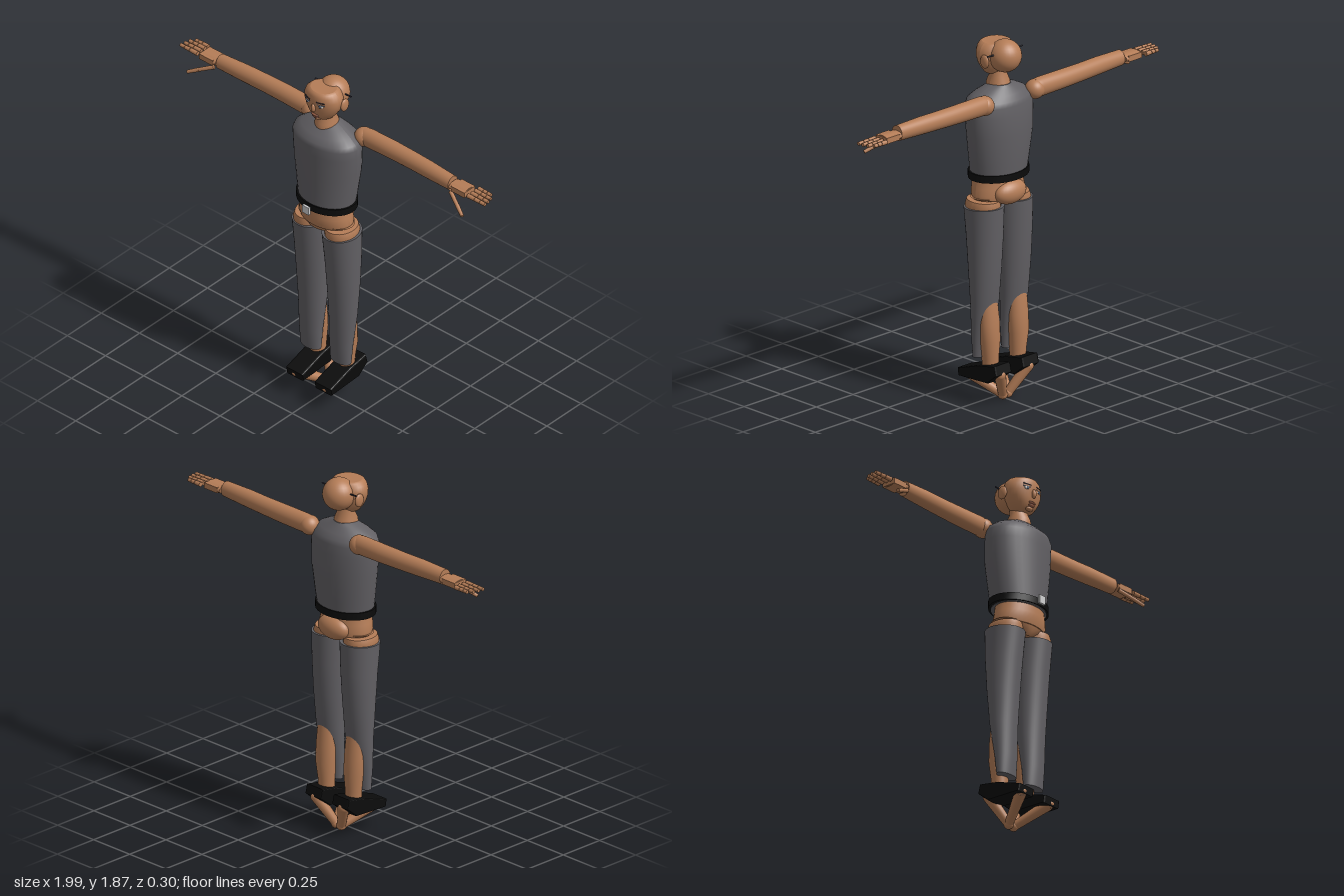
import * as THREE from 'three';

const mat = (name, color) => {
  const m = new THREE.MeshStandardMaterial({ color });
  m.name = name;
  return m;
};

// Closed elliptical loft; each ring is [y, centreX, centreZ, radiusX, radiusZ]
function loft(rings, tilt = 0, seg = 36) {
  const pos = [], idx = [];
  const addRing = ([y, cx, cz, rx, rz]) => {
    const start = pos.length / 3;
    for (let j = 0; j <= seg; j++) {
      const a = (j / seg) * Math.PI * 2, z = Math.sin(a) * rz;
      pos.push(cx + Math.cos(a) * rx, y + tilt * z, cz + z);
    }
    return start;
  };
  const starts = rings.map(addRing);
  for (let i = 0; i < rings.length - 1; i++) {
    for (let j = 0; j < seg; j++) {
      const a = starts[i] + j, b = starts[i + 1] + j;
      idx.push(a, b, a + 1, a + 1, b, b + 1);
    }
  }
  // End caps
  [[rings[0], false], [rings[rings.length - 1], true]].forEach(([r, top]) => {
    const s = addRing(r), c = pos.length / 3;
    pos.push(r[1], r[0], r[2]);
    for (let j = 0; j < seg; j++) top ? idx.push(c, s + j + 1, s + j) : idx.push(c, s + j, s + j + 1);
  });
  const g = new THREE.BufferGeometry();
  g.setAttribute('position', new THREE.Float32BufferAttribute(pos, 3));
  g.setIndex(idx);
  g.computeVertexNormals();
  return g;
}

export function createModel() {
  const root = new THREE.Group();
  root.name = 'figure';
  const skin = mat('skin', 0xb57d57), cloth = mat('greyCloth', 0x626064);
  const black = mat('black', 0x0b0b0b), metal = mat('buckleMetal', 0xcfcfd0);
  const eyeBlue = mat('eyeBlue', 0x56657a), white = mat('eyeWhite', 0xd8d4d0);
  const brow = mat('brow', 0x2c2c38), lip = mat('lip', 0x9c6048);

  const add = (name, geo, m, x = 0, y = 0, z = 0) => {
    const mesh = new THREE.Mesh(geo, m);
    mesh.name = name;
    mesh.position.set(x, y, z);
    root.add(mesh);
    return mesh;
  };
  const ball = (name, m, x, y, z, rx, ry = rx, rz = rx) =>
    add(name, new THREE.SphereGeometry(1, 28, 18).scale(rx, ry, rz), m, x, y, z);
  const box = (name, m, x, y, z, w, h, d) => add(name, new THREE.BoxGeometry(w, h, d), m, x, y, z);
  // Tapered round rod between two points
  const rod = (name, m, a, b, ra, rb = ra) => {
    const p = new THREE.Vector3(...a), q = new THREE.Vector3(...b), d = q.clone().sub(p);
    const mesh = add(name, new THREE.CylinderGeometry(rb, ra, d.length(), 16), m);
    mesh.position.copy(p).add(q).multiplyScalar(0.5);
    mesh.quaternion.setFromUnitVectors(new THREE.Vector3(0, 1, 0), d.normalize());
    return mesh;
  };

  // Head and neck
  ball('skull', skin, 0, 1.79, -0.053, 0.083);
  add('face', loft([
    [1.685, 0, 0.015, 0.035, 0.035], [1.695, 0, 0.018, 0.055, 0.052], [1.72, 0, 0.018, 0.075, 0.066],
    [1.75, 0, 0.017, 0.095, 0.073], [1.78, 0, 0.017, 0.105, 0.078], [1.81, 0, 0.017, 0.106, 0.08],
    [1.835, 0, 0.018, 0.095, 0.077], [1.85, 0, 0.018, 0.08, 0.07], [1.855, 0, 0.018, 0.068, 0.06],
  ]), skin);
  add('neck', loft([
    [1.62, 0, -0.005, 0.06, 0.063], [1.65, 0, -0.005, 0.057, 0.06],
    [1.68, 0, -0.005, 0.047, 0.045], [1.73, 0, -0.008, 0.045, 0.037],
  ]), skin);
  ball('nose', skin, 0, 1.768, 0.095, 0.012, 0.024, 0.013);
  ball('upperLip', lip, 0, 1.723, 0.083, 0.023, 0.007, 0.01);
  ball('lowerLip', lip, 0, 1.711, 0.079, 0.021, 0.008, 0.01);
  ball('chin', skin, 0, 1.697, 0.064, 0.025, 0.012, 0.014);

  // Torso, belt and pelvis
  add('shirt', loft([
    [1.16, 0, -0.006, 0.152, 0.121], [1.25, 0, -0.01, 0.167, 0.127], [1.4, 0, -0.014, 0.189, 0.134],
    [1.5, 0, -0.011, 0.196, 0.131], [1.55, 0, -0.008, 0.197, 0.128], [1.575, 0, -0.008, 0.185, 0.122],
    [1.6, 0, -0.01, 0.15, 0.098], [1.625, 0, -0.015, 0.1, 0.07], [1.643, 0, -0.02, 0.055, 0.05],
  ]), cloth);
  add('belt', loft([[1.163, 0, -0.007, 0.168, 0.13], [1.2, 0, -0.007, 0.168, 0.13]]), black);
  box('buckle', metal, 0, 1.18, 0.147, 0.042, 0.044, 0.013);
  add('waist', loft([
    [1.06, 0, -0.005, 0.15, 0.1], [1.085, 0, -0.003, 0.155, 0.105],
    [1.12, 0, 0, 0.147, 0.105], [1.18, 0, 0, 0.138, 0.1],
  ]), skin);
  add('hips', loft([
    [1.015, 0, 0, 0.03, 0.06], [1.035, 0, -0.002, 0.1, 0.085], [1.07, 0, -0.003, 0.165, 0.096],
  ]), skin);
  ball('buttocks', skin, 0, 1.09, -0.088, 0.098, 0.062, 0.055);

  for (const s of [1, -1]) {
    const side = s > 0 ? 'left' : 'right';

    // Ear, eye and brow
    ball(side + 'Ear', skin, s * 0.105, 1.775, -0.018, 0.013, 0.035, 0.028);
    ball(side + 'EyeWhite', white, s * 0.04, 1.79, 0.086, 0.017, 0.008, 0.007);
    ball(side + 'Iris', eyeBlue, s * 0.04, 1.79, 0.091, 0.008, 0.008, 0.005);
    rod(side + 'EyeLid', eyeBlue, [s * 0.02, 1.798, 0.093], [s * 0.062, 1.798, 0.082], 0.003);
    rod(side + 'Brow', brow, [s * 0.02, 1.81, 0.095], [s * 0.062, 1.812, 0.083], 0.003);
    rod(side + 'EarRod', brow, [s * 0.07, 1.81, -0.052], [s * 0.118, 1.812, -0.052], 0.004);

    // Arm: shoulder joint and sleeve-like limb, lofted along x
    ball(side + 'Shoulder', skin, s * 0.172, 1.58, -0.085, 0.05);
    const arm = loft([
      [0.17, 1.585, -0.087, 0.045, 0.04], [0.2, 1.585, -0.088, 0.05, 0.043], [0.35, 1.587, -0.09, 0.048, 0.044],
      [0.48, 1.588, -0.088, 0.046, 0.042], [0.6, 1.589, -0.083, 0.045, 0.041], [0.76, 1.588, -0.077, 0.04, 0.036],
    ].map(([x, y, z, ry, rz]) => [x, -s * y, z, ry, rz]));
    add(side + 'Arm', arm.rotateZ(-s * Math.PI / 2), skin);

    // Hand: palm, four fingers and a thumb
    const palm = new THREE.CylinderGeometry(0.02, 0.02, 0.1, 20).scale(1, 1, 2).rotateZ(Math.PI / 2);
    add(side + 'Wrist', palm, skin, s * 0.815, 1.585, -0.08);
    box(side + 'Palm', skin, s * 0.825, 1.585, -0.08, 0.088, 0.03, 0.08);
    [[-0.128, 0.97], [-0.104, 0.99], [-0.077, 0.997], [-0.05, 1.0]].forEach(([z, end], i) => {
      const cuts = [0.885, 0.885 + (end - 0.885) * 0.42, 0.885 + (end - 0.885) * 0.72, end];
      for (let k = 0; k < 3; k++) {
        rod(`${side}Finger${i + 1}Joint${k + 1}`, skin,
          [s * cuts[k], 1.587, z], [s * (cuts[k + 1] - 0.003), 1.587, z], 0.012 - k * 0.001, 0.011 - k * 0.001);
      }
    });
    rod(side + 'ThumbBase', skin, [s * 0.775, 1.562, -0.045], [s * 0.845, 1.53, -0.014], 0.011, 0.01);
    rod(side + 'ThumbTip', skin, [s * 0.845, 1.53, -0.014], [s * 0.9, 1.503, 0.01], 0.011, 0.009);

    // Leg: thigh top, trouser leg and calf that shows behind it
    add(side + 'Thigh', loft([
      [0.95, s * 0.1, -0.005, 0.08, 0.09], [1.03, s * 0.103, -0.003, 0.08, 0.095], [1.055, s * 0.1, -0.003, 0.074, 0.09],
    ]), skin);
    add(side + 'TrouserLeg', loft([
      [0.24, s * 0.098, 0.002, 0.062, 0.034], [0.35, s * 0.099, 0, 0.068, 0.045], [0.52, s * 0.1, -0.013, 0.077, 0.064],
      [0.7, s * 0.1, -0.015, 0.086, 0.079], [0.86, s * 0.099, -0.013, 0.092, 0.092], [1.02, s * 0.098, -0.006, 0.097, 0.104],
    ], -0.06), cloth);
    add(side + 'Calf', loft([
      [0.17, s * 0.093, -0.045, 0.04, 0.04], [0.24, s * 0.094, -0.046, 0.043, 0.042], [0.33, s * 0.097, -0.048, 0.053, 0.048],
      [0.42, s * 0.098, -0.043, 0.056, 0.047], [0.52, s * 0.099, -0.034, 0.052, 0.045], [0.6, s * 0.1, -0.025, 0.045, 0.04],
    ]), skin);

    // Shoe: side profile extruded across the foot
    const profile = new THREE.Shape([
      [0.125, 0.145], [-0.02, 0.195], [-0.125, 0.215], [-0.135, 0.175], [-0.075, 0.125], [0.12, 0.115],
    ].map(([z, y]) => new THREE.Vector2(z, y)));
    const shoe = new THREE.ExtrudeGeometry(profile, {
      depth: 0.09, bevelEnabled: true, bevelSize: 0.006, bevelThickness: 0.01, bevelSegments: 3,
    });
    add(side + 'Shoe', shoe.rotateY(-Math.PI / 2).translate(0.045, 0, 0), black, s * 0.093, 0, 0);

    // Bare foot: toe and heel struts that meet below the body
    const tip = [s * 0.018, 0.026, -0.055];
    rod(side + 'ToeStrut', skin, [s * 0.1, 0.125, 0.1], tip, 0.03, 0.022);
    rod(side + 'HeelStrut', skin, [s * 0.095, 0.165, -0.115], tip, 0.03, 0.022);
    ball(side + 'FootTip', skin, ...tip, 0.025);
    ball(side + 'ToeEnd', skin, s * 0.1, 0.125, 0.1, 0.03, 0.022, 0.03);
    ball(side + 'HeelEnd', skin, s * 0.095, 0.165, -0.115, 0.03);
  }
  return root;
}
